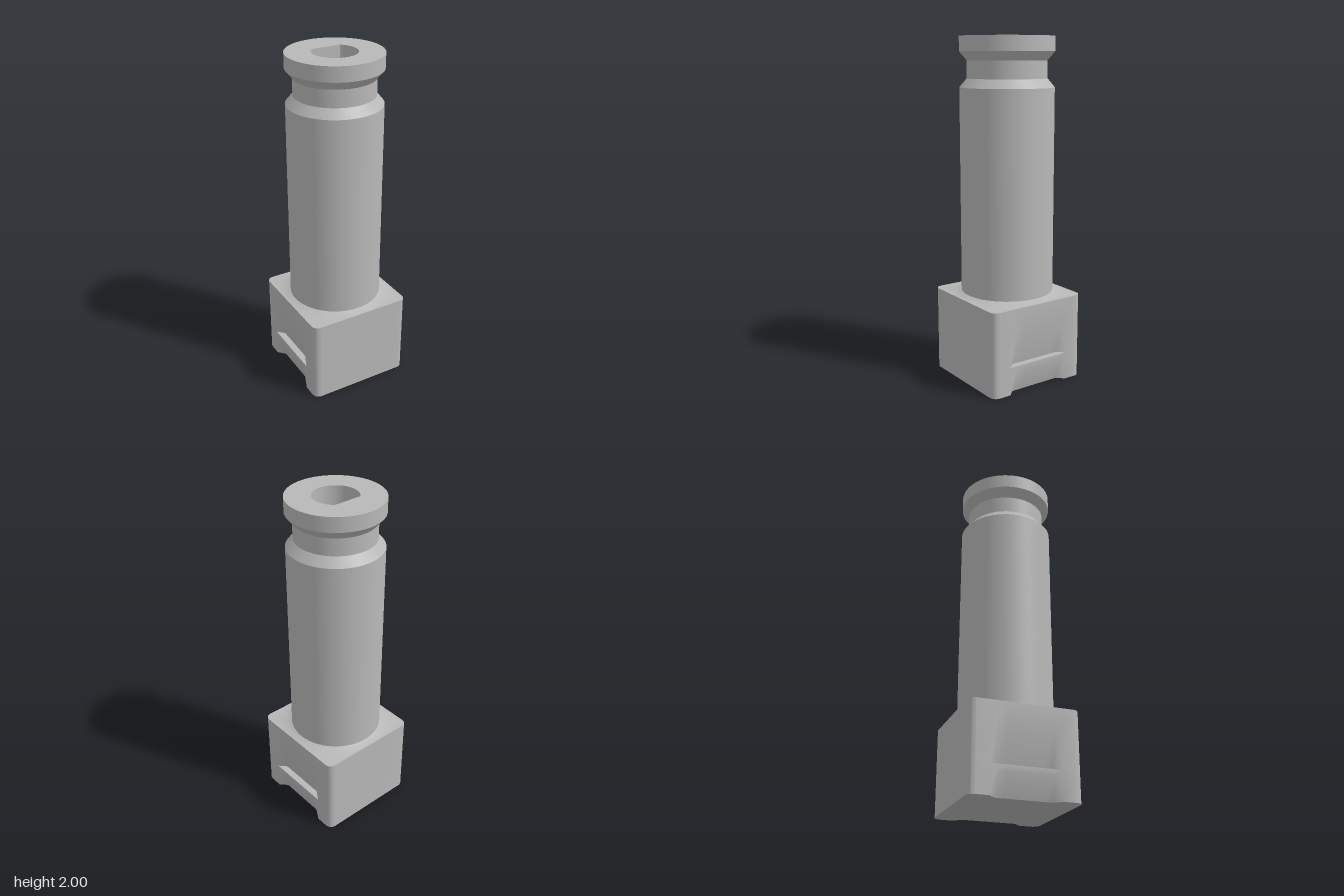
import * as THREE from 'three';
import { toCreasedNormals } from 'three/addons/utils/BufferGeometryUtils.js';

const HALF = 0.314, CORNER = 0.041;      // square base half width and corner radius
const RADIUS = 0.272, NECK = 0.23;       // shaft radii
const BORE = 0.128, FLAT = 0.094;        // D-shaped socket radius and flat distance

// Rounded square outline, with a recess of given depth and outer half width on two sides
function outline(depth, outer) {
  const pts = [];
  const inner = 0.158;
  const c = HALF - CORNER;
  for (let k = 0; k < 4; k++) {
    const cos = Math.cos(k * Math.PI / 2), sin = Math.sin(k * Math.PI / 2);
    const recessed = k % 2 === 0;
    const add = (n, t) => pts.push([n * cos - t * sin, -(n * sin + t * cos)]);
    add(HALF, -outer);
    for (let i = -3; i <= 3; i++) add(HALF - (recessed ? depth : 0), inner * i / 3);
    add(HALF, outer);
    for (let i = 0; i <= 8; i++) {
      const a = i / 8 * Math.PI / 2;
      add(c + CORNER * Math.cos(a), c + CORNER * Math.sin(a));
    }
  }
  return pts;
}

// Ring of points on the same rays as the outline, limited to a radius
function ring(radius) {
  return outline(0, 0.2).map(([x, z]) => {
    const s = Math.min(1, radius / Math.hypot(x, z));
    return [x * s, z * s];
  });
}

// Skin between stacked cross-sections
function loft(rows) {
  const pos = [];
  const tri = (a, b, c) => {
    const area = b.clone().sub(a).cross(c.clone().sub(a)).length();
    if (area > 1e-9) for (const p of [a, b, c]) pos.push(p.x, p.y, p.z);
  };
  const sections = rows.map(([y, pts]) => pts.map(([x, z]) => new THREE.Vector3(x, y, z)));
  for (let i = 0; i + 1 < sections.length; i++) {
    const low = sections[i], high = sections[i + 1];
    for (let j = 0; j < low.length; j++) {
      const k = (j + 1) % low.length;
      tri(low[j], low[k], high[k]);
      tri(low[j], high[k], high[j]);
    }
  }
  const g = new THREE.BufferGeometry();
  g.setAttribute('position', new THREE.Float32BufferAttribute(pos, 3));
  return toCreasedNormals(g, 0.87);
}

// Upright disc with the D-shaped hole through it
function socketDisc(radius, bottom, top) {
  const shape = new THREE.Shape().absarc(0, 0, radius, 0, Math.PI * 2, false);
  const a = Math.asin(FLAT / BORE);
  const hole = new THREE.Path().absarc(0, 0, BORE, Math.PI - a, Math.PI * 2 + a, false);
  hole.closePath();
  shape.holes.push(hole);
  const g = new THREE.ExtrudeGeometry(shape, { depth: top - bottom, bevelEnabled: false, curveSegments: 64 });
  g.rotateX(-Math.PI / 2).translate(0, bottom, 0);
  return toCreasedNormals(g, 0.5);
}

export function createModel() {
  const group = new THREE.Group();
  group.name = 'shaft';
  const metal = new THREE.MeshStandardMaterial({ color: 0xb8b8b8 });
  metal.name = 'grey metal';
  const add = (name, geometry) => {
    const mesh = new THREE.Mesh(geometry, metal);
    mesh.name = name;
    group.add(mesh);
  };

  // Square base: two ramped grip recesses per side, shallow cone on top
  const foot = outline(0.04, 0.2);
  add('base', loft([
    [0, foot],
    [0.13, outline(0, 0.165)],
    [0.165, outline(0, 0.2)],
    [0.165, foot],
    [0.36, outline(0, 0.165)],
    [0.505, outline(0, 0.2)],
    [0.505, ring(0.313)],
    [0.525, ring(0.268)],
  ]));
  const under = new THREE.Shape(foot.map(([x, z]) => new THREE.Vector2(x, z)));
  add('baseUnderside', new THREE.ShapeGeometry(under).rotateX(Math.PI / 2));

  // Round shaft with a chamfered neck groove
  const profile = [
    [RADIUS, 0.5], [RADIUS, 1.715], [NECK, 1.765], [NECK, 1.865], [RADIUS, 1.915],
  ].map(([r, y]) => new THREE.Vector2(r, y));
  add('shaftBody', toCreasedNormals(new THREE.LatheGeometry(profile, 128), 0.5));

  // Head rim, socket wall and socket floor
  add('headRim', socketDisc(RADIUS, 1.915, 2));
  add('socketWall', socketDisc(0.2, 1.55, 1.915));
  add('socketFloor', new THREE.CircleGeometry(0.19, 48).rotateX(-Math.PI / 2).translate(0, 1.56, 0));

  group.rotation.y = -Math.PI / 10;
  return group;
}
